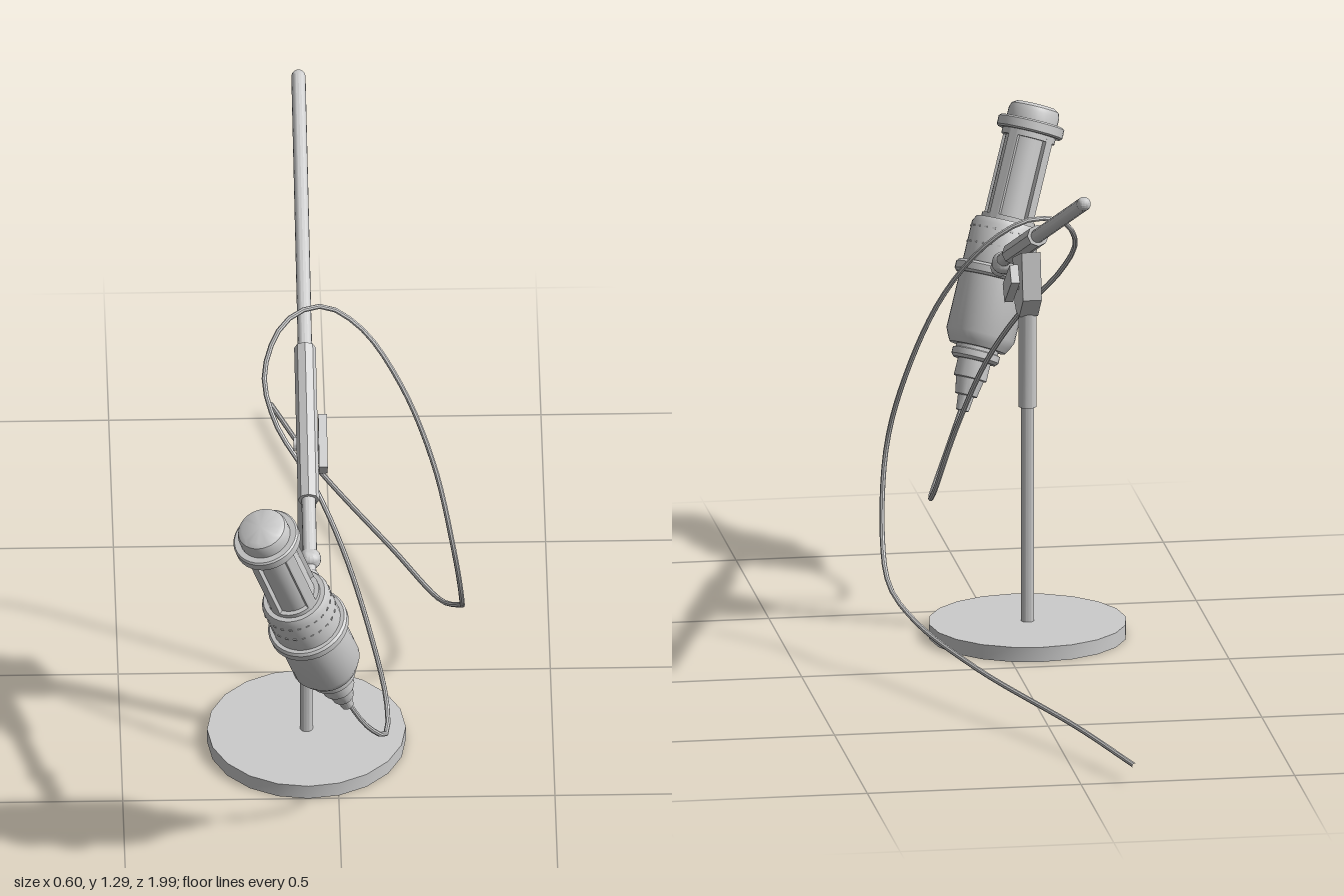
import * as THREE from 'three';
import { toCreasedNormals } from 'three/addons/utils/BufferGeometryUtils.js';

const V = (x, y, z) => new THREE.Vector3(x, y, z);
const UP = V(0, 1, 0);
const material = new THREE.MeshStandardMaterial({ color: 0xcccccc });

function add(parent, name, geometry) {
  const mesh = new THREE.Mesh(toCreasedNormals(geometry, 0.6), material);
  mesh.name = name;
  parent.add(mesh);
  return mesh;
}

// Cylinder running from point a to point b
function rod(parent, name, a, b, ra, rb = ra, sides = 16) {
  const dir = b.clone().sub(a);
  const mesh = add(parent, name, new THREE.CylinderGeometry(rb, ra, dir.length(), sides));
  mesh.position.copy(a).lerp(b, 0.5);
  mesh.quaternion.setFromUnitVectors(UP, dir.normalize());
  return mesh;
}

function lathe(parent, name, profile, sides = 32) {
  const points = profile.map(([r, y]) => new THREE.Vector2(r, y));
  return add(parent, name, new THREE.LatheGeometry(points, sides));
}

const X = -0.07, Z = 0.27; // stand axis
const boomAt = z => V(X, 0.853 + (0.5 - z) * 0.39, z);

function createStand() {
  const stand = new THREE.Group();
  stand.name = 'stand';
  rod(stand, 'base', V(X, 0, Z), V(X, 0.035, Z), 0.23, 0.23, 20);
  rod(stand, 'pole', V(X, 0.035, Z), V(X, 0.57, Z), 0.015);
  rod(stand, 'poleSleeve', V(X, 0.55, Z), V(X, 0.8, Z), 0.021);

  // Clamp body under the boom
  const outline = [[0.355, 0.885], [0.325, 0.785], [0.3, 0.77], [0.255, 0.77],
    [0.195, 0.825], [0.215, 0.935]];
  const shape = new THREE.Shape(outline.map(([z, y]) => new THREE.Vector2(-z, y)));
  const clamp = add(stand, 'clamp', new THREE.ExtrudeGeometry(shape, { depth: 0.044, bevelEnabled: false }));
  clamp.rotation.y = Math.PI / 2;
  clamp.position.x = X - 0.022;
  // Wing handle on its bolt
  const handle = add(stand, 'clampHandle', new THREE.BoxGeometry(0.02, 0.045, 0.13));
  handle.position.set(-0.032, 0.847, 0.27);
  handle.rotation.x = 0.62;
  rod(stand, 'clampBolt', V(-0.1, 0.847, Z), V(-0.03, 0.847, Z), 0.016);

  // Boom arm
  rod(stand, 'boom', boomAt(0.65), boomAt(-0.585), 0.0165);
  rod(stand, 'boomSleeve', boomAt(0.5), boomAt(0.11), 0.025, 0.025, 8);
  const tip = add(stand, 'boomTip', new THREE.SphereGeometry(0.0165, 16, 10));
  tip.position.copy(boomAt(-0.585));

  // Swivel joint holding the microphone
  for (const [z, y, r] of [[0.645, 0.79, 0.026], [0.69, 0.767, 0.022]]) {
    add(stand, 'swivelBall', new THREE.SphereGeometry(r, 16, 12)).position.set(X, y, z);
  }
  rod(stand, 'swivelStem', V(X, 0.79, 0.645), V(X, 0.74, 0.76), 0.014);
  return stand;
}

const micBottom = V(0.015, 0.42, 0.71), micTop = V(-0.19, 1.085, 0.925);

function createMicrophone() {
  const mic = new THREE.Group();
  mic.name = 'microphone';
  mic.position.copy(micBottom);
  mic.quaternion.setFromUnitVectors(UP, micTop.clone().sub(micBottom).normalize());

  lathe(mic, 'cablePlug', [[0, 0], [0.015, 0], [0.019, 0.035], [0.026, 0.037], [0.033, 0.075],
    [0.039, 0.077], [0.039, 0.13], [0, 0.13]], 20);
  lathe(mic, 'lowerBody', [[0, 0.118], [0.05, 0.118], [0.056, 0.125], [0.056, 0.14], [0.05, 0.142],
    [0.05, 0.15], [0.066, 0.15], [0.073, 0.162], [0.081, 0.18], [0.081, 0.32], [0, 0.32]]);
  lathe(mic, 'middleRing', [[0.07, 0.313], [0.09, 0.313], [0.095, 0.319], [0.095, 0.335],
    [0.09, 0.341], [0.07, 0.341]]);
  lathe(mic, 'collar', [[0.081, 0.335], [0.081, 0.434], [0.074, 0.448], [0, 0.448]]);
  lathe(mic, 'grille', [[0.052, 0.44], [0.052, 0.675]]);
  lathe(mic, 'topRing', [[0, 0.662], [0.074, 0.662], [0.078, 0.666], [0.078, 0.686],
    [0.074, 0.69], [0, 0.69]]);
  lathe(mic, 'cap', [[0.06, 0.685], [0.06, 0.71], [0.056, 0.722], [0.045, 0.729], [0, 0.731]]);

  // Four curved posts frame the grille windows
  const half = 0.21;
  const arc = new THREE.Shape();
  arc.absarc(0, 0, 0.063, -half, half, false);
  arc.absarc(0, 0, 0.048, half, -half, true);
  for (let i = 0; i < 4; i++) {
    const post = add(mic, 'grillePost', new THREE.ExtrudeGeometry(arc,
      { depth: 0.222, bevelEnabled: false, curveSegments: 5 }));
    post.rotation.set(-Math.PI / 2, 0, Math.PI / 4 + i * Math.PI / 2);
    post.position.y = 0.443;
  }
  // Narrow bands at both ends of the windows
  for (const y of [0.443, 0.648]) {
    lathe(mic, 'grilleBand', [[0.05, y], [0.063, y], [0.063, y + 0.016], [0.05, y + 0.016]]);
  }
  // Two rows of small studs around the collar
  for (const y of [0.385, 0.423]) {
    for (let i = 0; i < 24; i++) {
      const a = i * Math.PI / 12;
      const stud = add(mic, 'collarStud', new THREE.BoxGeometry(0.008, 0.004, 0.003));
      stud.position.set(Math.sin(a) * 0.081, y, Math.cos(a) * 0.081);
      stud.rotation.y = a;
    }
  }
  return mic;
}

function createCable() {
  const path = [
    [0.015, 0.43, 0.712], [0.06, 0.33, 0.67], [0.108, 0.25, 0.59], [0.11, 0.285, 0.515],
    [0.07, 0.45, 0.45], [0.01, 0.63, 0.38], [-0.055, 0.76, 0.31], [-0.14, 0.88, 0.235],
    [-0.165, 0.97, 0.16], [-0.115, 1.05, 0.07], [-0.03, 1.065, 0.03], [0.06, 1.01, 0.04],
    [0.153, 0.88, 0.09], [0.228, 0.69, 0.145], [0.272, 0.487, 0.195], [0.293, 0.28, 0.115],
    [0.29, 0.2, 0.02], [0.25, 0.147, -0.07], [0.143, 0.1, -0.34], [-0.03, 0.062, -0.73],
    [-0.125, 0.04, -1]];
  const curve = new THREE.CatmullRomCurve3(path.map(p => V(...p)));
  const cable = new THREE.Group();
  add(cable, 'cable', new THREE.TubeGeometry(curve, 90, 0.006, 8));
  return cable.children[0];
}

export function createModel() {
  const model = new THREE.Group();
  model.name = 'microphoneOnBoomStand';
  model.add(createStand(), createMicrophone(), createCable());
  return model;
}
